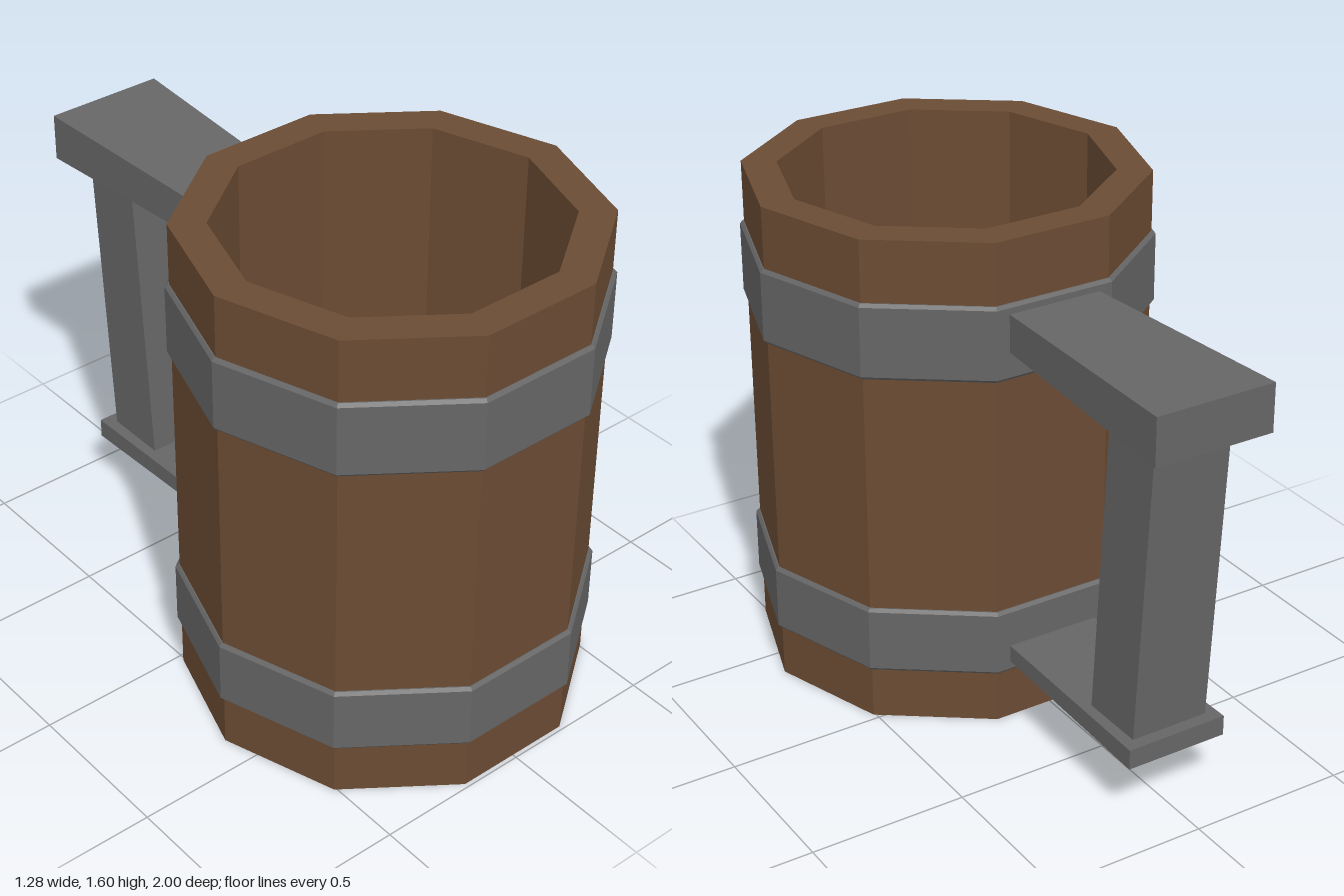
import * as THREE from 'three';

const SIDES = 10;
const CENTER_Z = 0.39;

// Faceted ring or vessel spun from a profile of [radius, height] points
function facetedLathe(profile) {
  const points = profile.map(([r, y]) => new THREE.Vector2(r, y));
  const g = new THREE.LatheGeometry(points, SIDES, Math.PI / 2).toNonIndexed();
  g.computeVertexNormals();
  return g.translate(0, 0, CENTER_Z);
}

// Box whose corners are placed by a rule taking -1..1 coordinates
function shapedBox(rule) {
  const g = new THREE.BoxGeometry(2, 2, 2);
  const p = g.attributes.position;
  for (let i = 0; i < p.count; i++) p.setXYZ(i, ...rule(p.getX(i), p.getY(i), p.getZ(i)));
  g.computeVertexNormals();
  return g;
}

// Horizontal bar tapering from the outer end (z = -1 side) to the inner end
function taperedBar(outer, inner) {
  return shapedBox((x, y, z) => {
    const e = z < 0 ? outer : inner;
    return [x * e.halfWidth, y < 0 ? e.bottom : e.top, e.z];
  });
}

export function createModel() {
  const wood = new THREE.MeshStandardMaterial({ color: 0x6b4c34, flatShading: true });
  wood.name = 'brown wood';
  const iron = new THREE.MeshStandardMaterial({ color: 0x666666, flatShading: true });
  iron.name = 'grey iron';

  const model = new THREE.Group();
  model.name = 'mug';
  const add = (name, geometry, material) => {
    const mesh = new THREE.Mesh(geometry, material);
    mesh.name = name;
    model.add(mesh);
  };

  // Hollow ten-sided body with a thick rim and floor
  add('body', facetedLathe([
    [0, 0], [0.627, 0], [0.627, 1.6], [0.517, 1.6], [0.517, 0.11], [0, 0.11],
  ]), wood);

  // Two hoops with slightly bevelled edges
  for (const [name, low, high] of [['lowerBand', 0.17, 0.39], ['upperBand', 1.165, 1.405]]) {
    add(name, facetedLathe([
      [0.61, low], [0.631, low], [0.64, low + 0.01],
      [0.64, high - 0.01], [0.631, high], [0.61, high],
    ]), iron);
  }

  // Handle: broad top arm, thin bottom arm and a leaning grip
  add('handleTop', taperedBar(
    { z: -1, halfWidth: 0.195, bottom: 1.24, top: 1.392 },
    { z: -0.2, halfWidth: 0.154, bottom: 1.257, top: 1.375 },
  ), iron);
  add('handleBottom', taperedBar(
    { z: -0.88, halfWidth: 0.167, bottom: 0.2, top: 0.265 },
    { z: -0.2, halfWidth: 0.154, bottom: 0.207, top: 0.262 },
  ), iron);
  add('handleGrip', shapedBox((x, y, z) => [
    x * 0.128,
    y < 0 ? 0.255 : 1.255,
    (y < 0 ? -0.732 : -0.799) + z * 0.107,
  ]), iron);

  return model;
}
